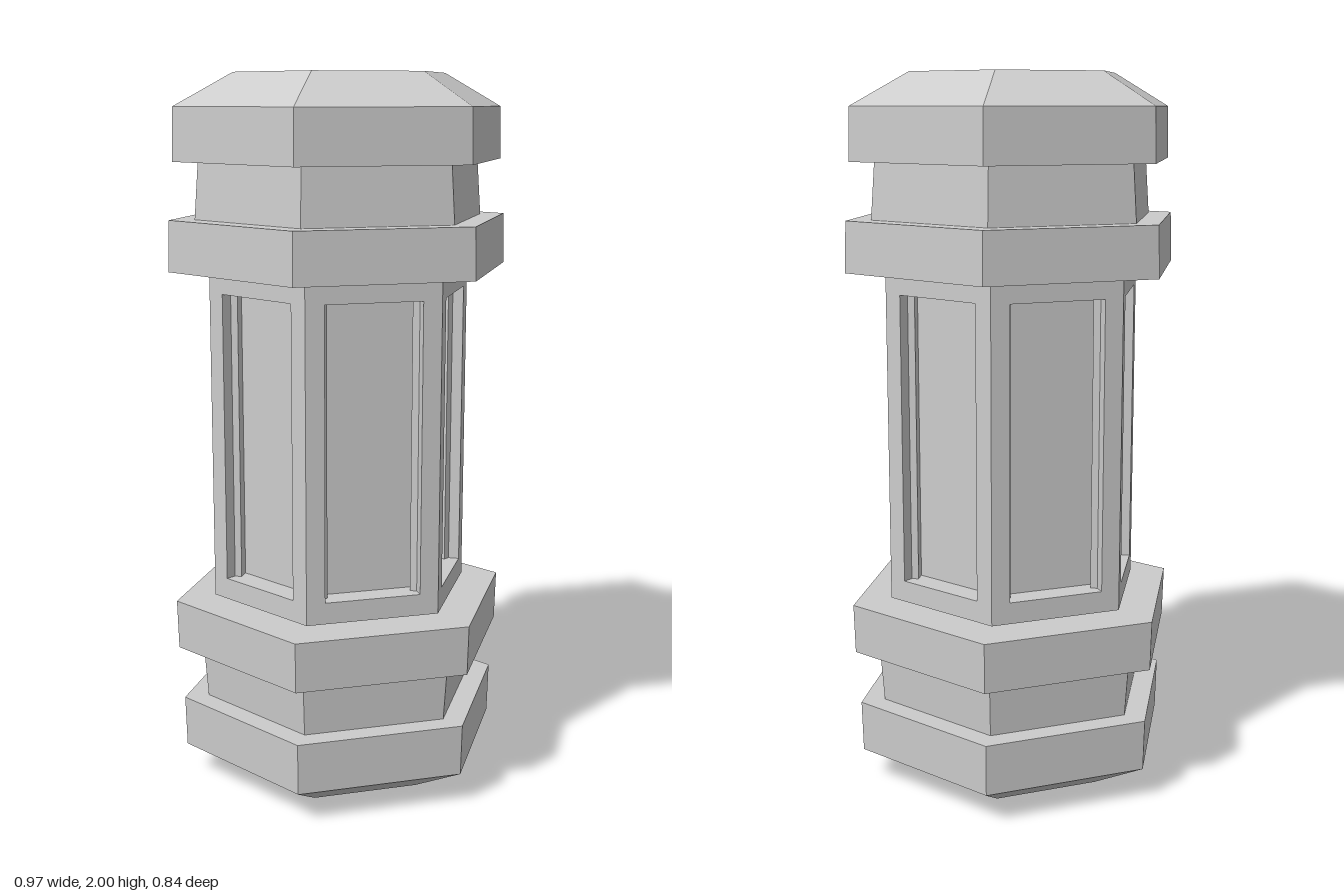
import * as THREE from 'three';

const SIDES = 6;
const HALF = 1;                         // half of the total height
const SHAFT = { radius: 0.375, bottom: 0.54, top: 1.47 };
const PANEL = { half: 0.135, bottom: 0.6, top: 1.41, depth: 0.07 };
const COS30 = Math.cos(Math.PI / 6);

const material = new THREE.MeshStandardMaterial({ color: 0xcccccc, flatShading: true });

// Six-sided prism or frustum with corners on the x axis
function hexPrism(name, rTop, rBottom, y0, y1) {
  const geo = new THREE.CylinderGeometry(rTop, rBottom, y1 - y0, SIDES, 1, false, Math.PI / 2);
  geo.translate(0, (y0 + y1) / 2, 0);
  const mesh = new THREE.Mesh(geo, material);
  mesh.name = name;
  return mesh;
}

function rectangle(path, halfWidth, y0, y1) {
  path.moveTo(-halfWidth, y0);
  path.lineTo(halfWidth, y0);
  path.lineTo(halfWidth, y1);
  path.lineTo(-halfWidth, y1);
  path.closePath();
  return path;
}

// Collar, neck and chamfered cap; heights measured from the middle of the model
function createEnd(name) {
  const end = new THREE.Group();
  end.name = name;
  end.add(
    hexPrism('collar', 0.483, 0.487, 0.47, 0.61),
    hexPrism('neck', 0.4, 0.412, 0.61, 0.77),
    hexPrism('capBand', 0.466, 0.47, 0.765, 0.91),
    hexPrism('capChamfer', 0.3, 0.466, 0.91, 1)
  );
  end.position.y = HALF;
  return end;
}

// Shaft: inner core forms the panel floors, one pierced frame per side
function createShaft() {
  const shaft = new THREE.Group();
  shaft.name = 'shaft';
  const apothem = SHAFT.radius * COS30;
  const coreRadius = (apothem - PANEL.depth) / COS30;
  shaft.add(hexPrism('panelCore', coreRadius, coreRadius, SHAFT.bottom, SHAFT.top));

  const outline = rectangle(new THREE.Shape(), SHAFT.radius / 2, SHAFT.bottom, SHAFT.top);
  outline.holes.push(rectangle(new THREE.Path(), PANEL.half, PANEL.bottom, PANEL.top));
  const thickness = PANEL.depth + 0.01;
  const frameGeo = new THREE.ExtrudeGeometry(outline, { depth: thickness, bevelEnabled: false });
  frameGeo.translate(0, 0, apothem - thickness);

  for (let i = 0; i < SIDES; i++) {
    const frame = new THREE.Mesh(frameGeo, material);
    frame.name = 'panelFrame' + (i + 1);
    frame.rotation.y = (i * Math.PI * 2) / SIDES;
    shaft.add(frame);
  }
  return shaft;
}

export function createModel() {
  const model = new THREE.Group();
  model.name = 'hexagonalCanister';
  const topEnd = createEnd('topEnd');
  const bottomEnd = createEnd('bottomEnd');
  bottomEnd.rotation.x = Math.PI;
  model.add(topEnd, createShaft(), bottomEnd);
  return model;
}
